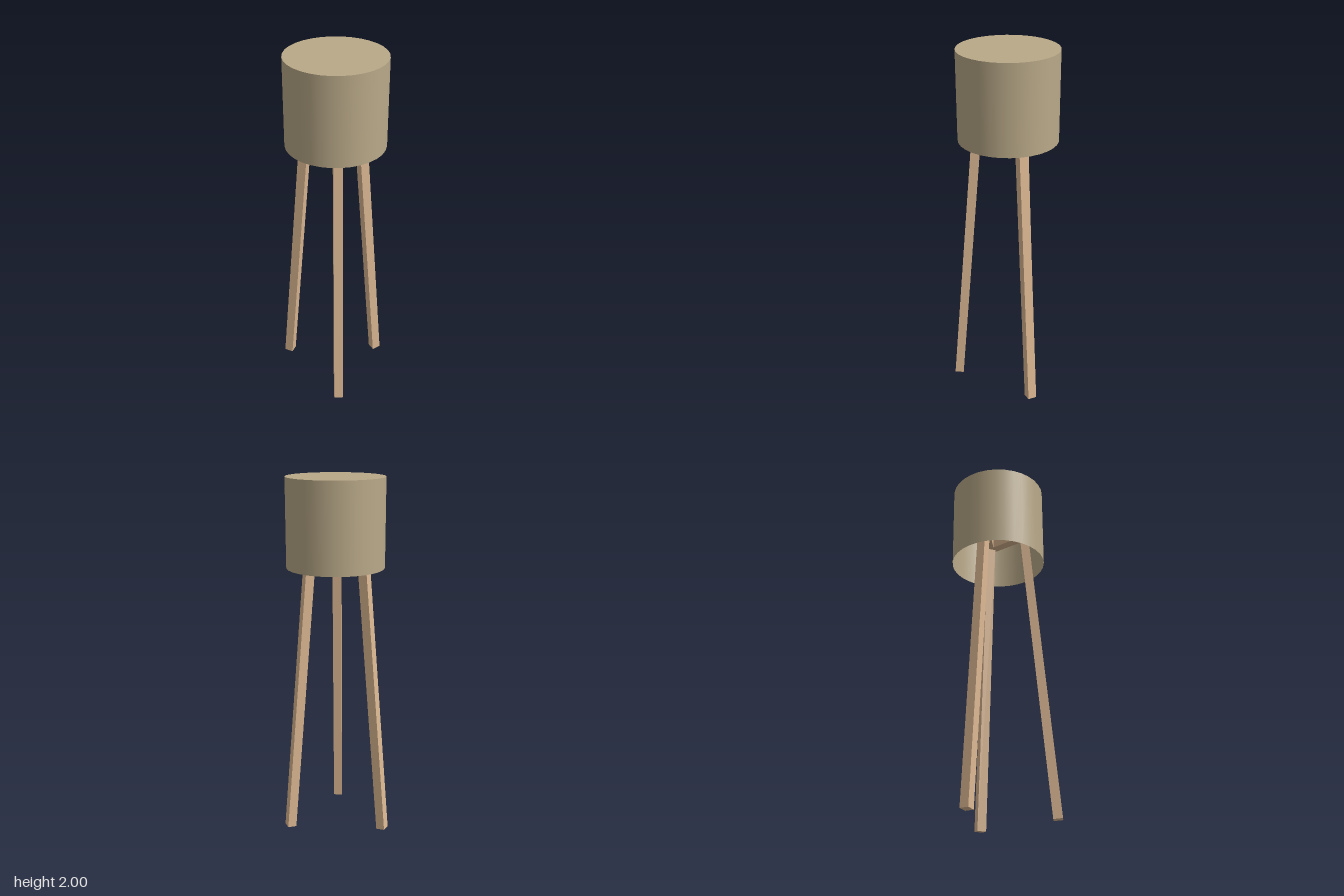
import * as THREE from 'three';

const CX = 0.028, CZ = 0.006;         // axis of the shade
const SHADE = { r: 0.269, bottom: 1.515, top: 2, sides: 32 };
const SPLAY = 0.087;                  // outward run of a leg per unit of height
const LEG = 0.05;                     // square section
const LEG_TOP = 1.74;
// direction of each leg (degrees from +x towards +z) and radius of its foot
const LEGS = [
  { name: 'backLeg', deg: -63, foot: 0.287 },
  { name: 'frontLeg', deg: 52.5, foot: 0.303 },
  { name: 'rightLeg', deg: 168, foot: 0.306 },
];

// centre line of a leg at height y
function legPoint({ deg, foot }, y) {
  const a = THREE.MathUtils.degToRad(deg);
  const r = foot - SPLAY * y;
  return new THREE.Vector3(CX + r * Math.cos(a), y, CZ + r * Math.sin(a));
}

// square bar between two points, its local x axis turned towards 'side'
function bar(name, from, to, side, material) {
  const along = to.clone().sub(from);
  const length = along.length();
  const y = along.normalize();
  const z = new THREE.Vector3().crossVectors(side, y).normalize();
  const x = new THREE.Vector3().crossVectors(y, z);
  const mesh = new THREE.Mesh(new THREE.BoxGeometry(LEG, length, LEG), material);
  mesh.name = name;
  mesh.quaternion.setFromRotationMatrix(new THREE.Matrix4().makeBasis(x, y, z));
  mesh.position.copy(from).add(to).multiplyScalar(0.5);
  return mesh;
}

export function createModel() {
  const model = new THREE.Group();
  model.name = 'tripodLamp';
  const wood = new THREE.MeshStandardMaterial({ color: 0xdcb892 });
  const fabric = new THREE.MeshStandardMaterial({ color: 0xb9a988, side: THREE.DoubleSide });

  // drum shade, open underneath, closed on top
  const height = SHADE.top - SHADE.bottom;
  const halfStep = Math.PI / SHADE.sides;
  const shade = new THREE.Group();
  shade.name = 'shade';
  const wall = new THREE.Mesh(
    new THREE.CylinderGeometry(SHADE.r, SHADE.r, height, SHADE.sides, 1, true, halfStep), fabric);
  wall.name = 'shadeWall';
  wall.position.y = SHADE.bottom + height / 2;
  const cap = new THREE.Mesh(new THREE.CircleGeometry(SHADE.r, SHADE.sides, halfStep), fabric);
  cap.name = 'shadeTop';
  cap.rotation.x = -Math.PI / 2;
  cap.position.y = SHADE.top;
  shade.add(wall, cap);
  shade.position.set(CX, 0, CZ);
  model.add(shade);

  // splayed legs, and a triangle of rails joining them inside the shade
  LEGS.forEach((leg, i) => {
    const a = THREE.MathUtils.degToRad(leg.deg);
    const outward = new THREE.Vector3(Math.cos(a), 0, Math.sin(a));
    model.add(bar(leg.name, legPoint(leg, 0.003), legPoint(leg, LEG_TOP), outward, wood));

    const next = LEGS[(i + 1) % LEGS.length];
    const railY = LEG_TOP - 0.03;
    model.add(bar('topRail', legPoint(leg, railY), legPoint(next, railY),
      new THREE.Vector3(0, 1, 0), wood));
  });
  return model;
}
